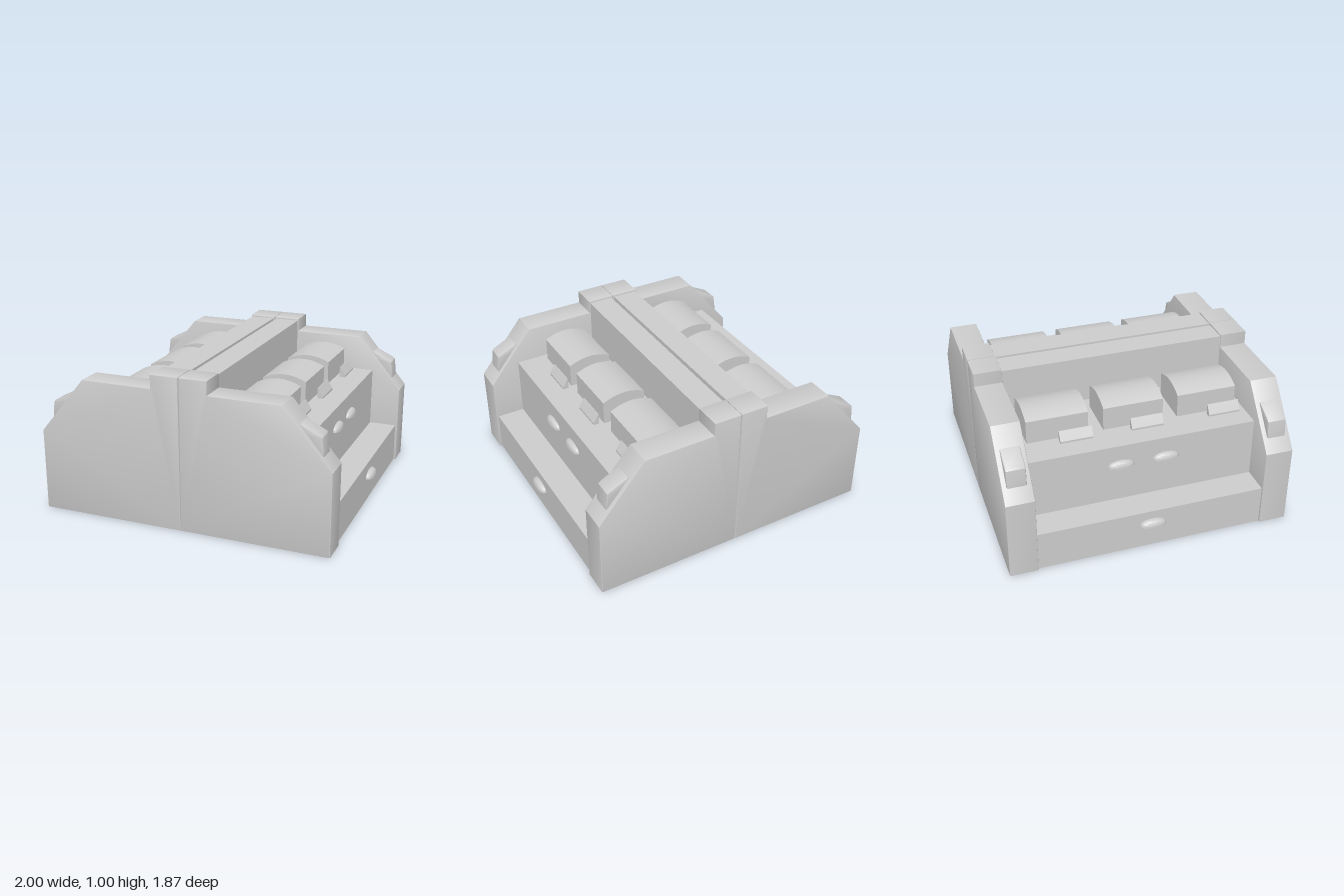
import * as THREE from 'three';
import { toCreasedNormals } from 'three/addons/utils/BufferGeometryUtils.js';

const grey = new THREE.MeshStandardMaterial({ color: 0xcccccc, side: THREE.DoubleSide });
grey.name = 'plain grey';

function add(parent, geometry, name) {
  const mesh = new THREE.Mesh(geometry, grey);
  mesh.name = name;
  parent.add(mesh);
  return mesh;
}

// Extrudes an x-y profile from z0 to z1, with a bevel that stays inside the outline
function prism(points, z0, z1, bevel = 0) {
  const shape = Array.isArray(points) ? new THREE.Shape(points.map(p => new THREE.Vector2(...p))) : points;
  const geometry = new THREE.ExtrudeGeometry(shape, {
    depth: z1 - z0 - 2 * bevel, curveSegments: 12, bevelEnabled: bevel > 0,
    bevelSize: bevel, bevelOffset: -bevel, bevelThickness: bevel, bevelSegments: 2,
  });
  geometry.translate(0, 0, z0 + bevel);
  return toCreasedNormals(geometry, 0.5);
}

// Open sheet following an x-y profile along z
function sheet(points, z0, z1) {
  const pos = [];
  for (let i = 0; i < points.length - 1; i++) {
    const a = points[i], b = points[i + 1];
    pos.push(...a, z0, ...b, z0, ...b, z1, ...a, z0, ...b, z1, ...a, z1);
  }
  const geometry = new THREE.BufferGeometry();
  geometry.setAttribute('position', new THREE.Float32BufferAttribute(pos, 3));
  geometry.computeVertexNormals();
  return geometry;
}

// Cup pull: half dome with a flat underside and squared-off curve
function cupPull() {
  const geometry = new THREE.SphereGeometry(1, 20, 16, Math.PI / 2, Math.PI);
  const p = geometry.attributes.position;
  for (let i = 0; i < p.count; i++) {
    const x = Math.pow(Math.max(p.getX(i), 0), 0.75);
    const y = Math.pow(Math.max(p.getY(i), 0), 0.8);
    p.setXYZ(i, x * 0.042, y * 0.046, p.getZ(i) * 0.088);
  }
  return toCreasedNormals(geometry, 0.7);
}

function createHalf() {
  const half = new THREE.Group();

  // Hollow stepped body, open underneath
  add(half, sheet([
    [0.955, 0], [0.955, 0.267], [0.765, 0.267], [0.765, 0.672],
    [0.18, 0.672], [0.18, 0.99], [0.012, 0.99], [0.012, 0],
  ], -0.76, 0.76), 'steppedBody');

  // End panels with sloped shoulders
  const panel = [[0.002, 0], [0.97, 0], [0.97, 0.54], [0.66, 0.913], [0.188, 0.913], [0.188, 1.003], [0.002, 1.003]];
  const latch = [[0.73, 0.76], [0.86, 0.61], [0.905, 0.62], [0.903, 0.66], [0.893, 0.735], [0.88, 0.747], [0.757, 0.807]];
  for (const z of [-0.845, 0.845]) {
    add(half, prism(panel, z - 0.092, z + 0.092, 0.005), 'endPanel');
    add(half, prism(latch, z - 0.062, z + 0.062, 0.008), 'cornerBlock');
  }

  // Domed bins on the counter
  const bin = new THREE.Shape();
  bin.moveTo(0.265, 0.66);
  bin.lineTo(0.56, 0.66);
  bin.lineTo(0.56, 0.828);
  bin.quadraticCurveTo(0.4125, 0.902, 0.265, 0.828);
  bin.closePath();
  for (const z of [-0.5, 0, 0.5]) add(half, prism(bin, z - 0.2, z + 0.2), 'domedBin');

  // Sloped tags in front of the bins
  for (const z of [-0.605, -0.077, 0.393]) {
    add(half, prism([[0.588, 0.67], [0.628, 0.67], [0.628, 0.685], [0.592, 0.743], [0.588, 0.743]], z - 0.107, z + 0.107), 'tag');
  }

  // Drawer pulls: two above, one below
  for (const [x, y, z] of [[0.76, 0.521, 0.15], [0.76, 0.521, -0.15], [0.958, 0.167, 0]]) {
    add(half, cupPull(), 'drawerPull').position.set(x, y, z);
  }
  return half;
}

export function createModel() {
  const model = new THREE.Group();
  model.name = 'doubleSidedCounter';
  const left = createHalf();
  left.name = 'leftHalf';
  const right = createHalf();
  right.name = 'rightHalf';
  right.rotation.y = Math.PI;
  model.add(left, right);
  return model;
}
